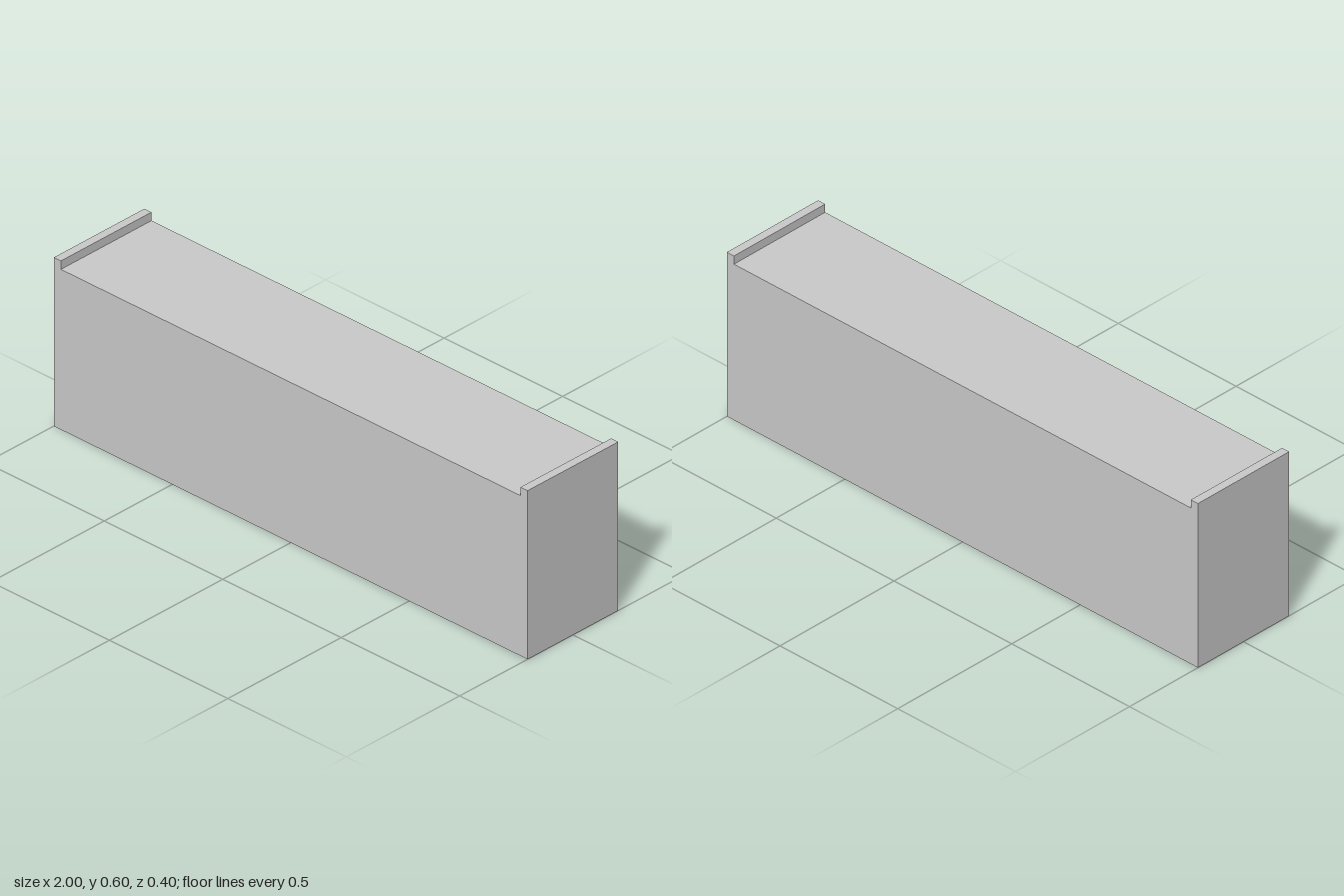
import * as THREE from 'three';

const LENGTH = 2, DEPTH = 0.4, HEIGHT = 0.6, T = 0.03; // T: board thickness

export function createModel() {
  const model = new THREE.Group();
  model.name = 'openBottomBox';
  const material = new THREE.MeshStandardMaterial({ color: 0xcccccc });

  // A board given by its size and the centre of its underside
  const board = (name, w, h, d, x, y, z) => {
    const mesh = new THREE.Mesh(new THREE.BoxGeometry(w, h, d), material);
    mesh.name = name;
    mesh.position.set(x, y + h / 2, z);
    model.add(mesh);
  };

  const inner = LENGTH - 2 * T;
  const wallHeight = HEIGHT - 2 * T;

  // End panels rise one board thickness above the top
  for (const [name, side] of [['leftEndPanel', 1], ['rightEndPanel', -1]]) {
    board(name, T, HEIGHT, DEPTH, side * (LENGTH - T) / 2, 0, 0);
  }

  // Long walls and the divider between the two open channels
  for (const [name, side] of [['frontWall', 1], ['divider', 0], ['backWall', -1]]) {
    board(name, inner, wallHeight, T, 0, 0, side * (DEPTH - T) / 2);
  }

  // Top board lies on the walls, between the end panels
  board('topBoard', inner, T, DEPTH, 0, wallHeight, 0);

  return model;
}
